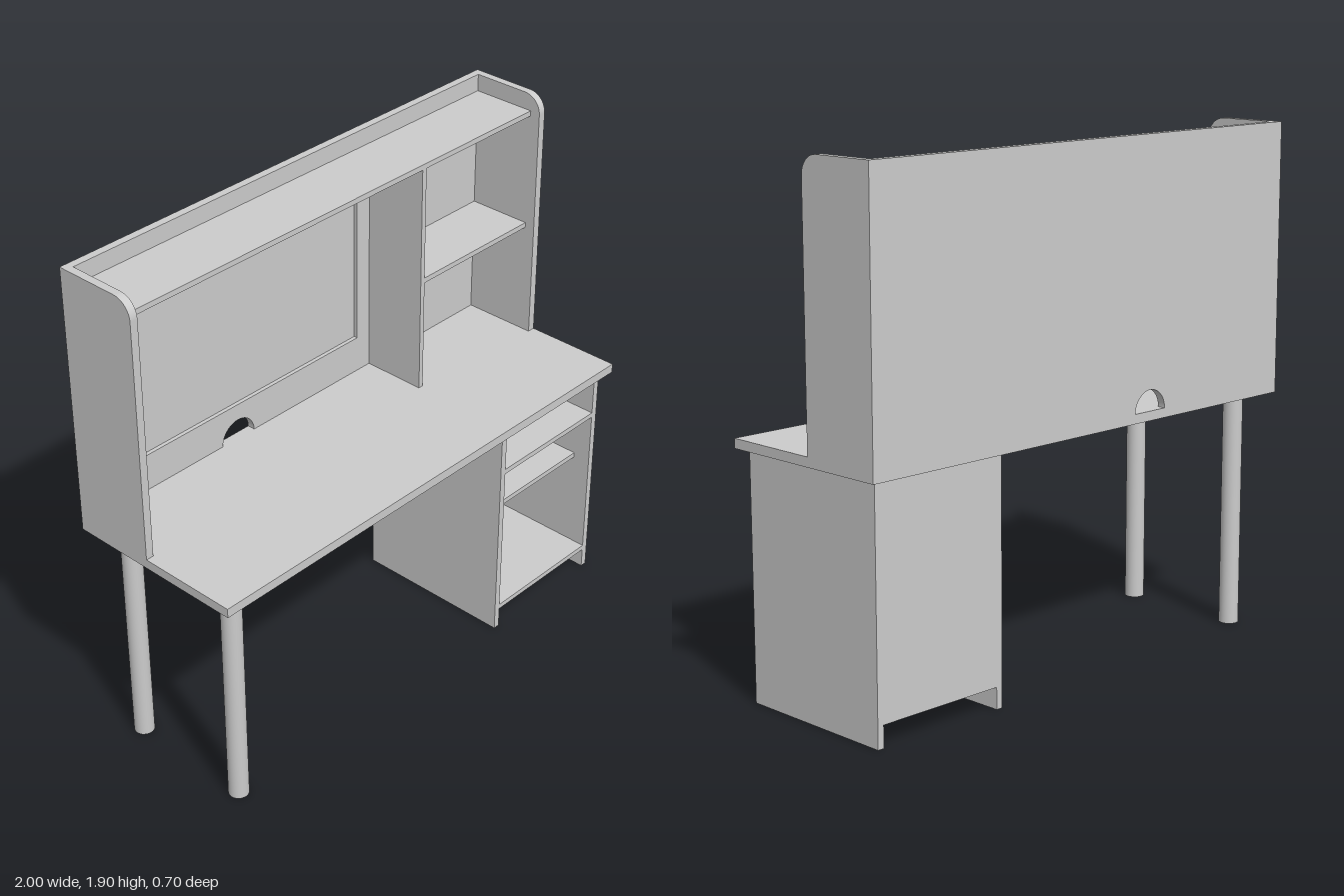
import * as THREE from 'three';

const material = new THREE.MeshStandardMaterial({ color: 0xcccccc });

export function createModel() {
  const model = new THREE.Group();

  const add = (name, geometry, parent = model) => {
    const mesh = new THREE.Mesh(geometry, material);
    mesh.name = name;
    parent.add(mesh);
    return mesh;
  };
  // Box given by its limits on each axis
  const board = (name, x0, x1, y0, y1, z0, z1, parent) =>
    add(name, new THREE.BoxGeometry(x1 - x0, y1 - y0, z1 - z0), parent)
      .position.set((x0 + x1) / 2, (y0 + y1) / 2, (z0 + z1) / 2);

  const deskY = 0.93, hutchTop = 1.905, back = -0.35;

  // Desk top and the two round legs
  board('deskTop', -1, 1, 0.895, deskY, back, 0.35);
  for (const z of [0.242, -0.242]) {
    add(z > 0 ? 'frontLeg' : 'backLeg', new THREE.CylinderGeometry(0.037, 0.037, 0.895, 32))
      .position.set(-0.885, 0.4475, z);
  }

  // Open pedestal with shelves
  const pedestal = new THREE.Group();
  pedestal.name = 'pedestal';
  model.add(pedestal);
  const x0 = 0.43, x1 = 0.94, d = 0.315;
  board('pedestalRightSide', x0 - 0.025, x0, 0, 0.895, -d, d, pedestal);
  board('pedestalLeftSide', x1, x1 + 0.025, 0, 0.895, -d, d, pedestal);
  board('pedestalBack', x0, x1, 0.08, 0.895, -d, -d + 0.025, pedestal);
  const shelves = [
    ['pedestalBottom', 0.08, 0.1, d], ['pedestalMiddleShelf', 0.49, 0.51, 0.245],
    ['pedestalUpperShelf', 0.705, 0.725, d], ['pedestalTopRail', 0.87, 0.895, d],
  ];
  for (const [name, a, b, front] of shelves) board(name, x0, x1, a, b, -d + 0.025, front, pedestal);

  // Hutch
  const hutch = new THREE.Group();
  hutch.name = 'hutch';
  model.add(hutch);

  // Side panels with a rounded upper front corner; shape x runs towards +z
  const side = new THREE.Shape();
  side.moveTo(back, deskY);
  side.lineTo(-0.03, deskY);
  side.lineTo(-0.03, hutchTop - 0.07);
  side.absarc(-0.1, hutchTop - 0.07, 0.07, 0, Math.PI / 2, false);
  side.lineTo(back, hutchTop);
  side.closePath();
  for (const [name, x] of [['hutchRightSide', -1], ['hutchLeftSide', 0.97]]) {
    const g = new THREE.ExtrudeGeometry(side, { depth: 0.03, bevelEnabled: false, curveSegments: 16 });
    g.rotateY(-Math.PI / 2).translate(x + 0.03, 0, 0);
    add(name, g, hutch);
  }

  // Back panel with cable cut-out; its front layer frames a shallow recess
  const backLayer = (recessed) => {
    const s = new THREE.Shape();
    s.moveTo(-0.97, deskY);
    s.lineTo(-0.372, deskY);
    s.absarc(-0.295, deskY, 0.077, Math.PI, 0, true);
    s.lineTo(0.97, deskY);
    s.lineTo(0.97, hutchTop);
    s.lineTo(-0.97, hutchTop);
    s.closePath();
    if (recessed) {
      const hole = new THREE.Path();
      hole.moveTo(-0.91, 1.07);
      hole.lineTo(-0.91, 1.755);
      hole.lineTo(0.32, 1.755);
      hole.lineTo(0.32, 1.07);
      hole.closePath();
      s.holes.push(hole);
    }
    return new THREE.ExtrudeGeometry(s, { depth: 0.015, bevelEnabled: false, curveSegments: 24 });
  };
  add('hutchBack', backLayer(false), hutch).position.z = back;
  add('hutchBackFrame', backLayer(true), hutch).position.z = back + 0.015;

  // Inner shelves and divider
  board('hutchTopShelf', -0.97, 0.97, 1.82, 1.84, -0.32, -0.07, hutch);
  board('hutchDivider', 0.385, 0.405, deskY, 1.82, -0.32, -0.07, hutch);
  board('hutchSmallShelf', 0.405, 0.97, 1.365, 1.385, -0.32, -0.07, hutch);

  return model;
}
